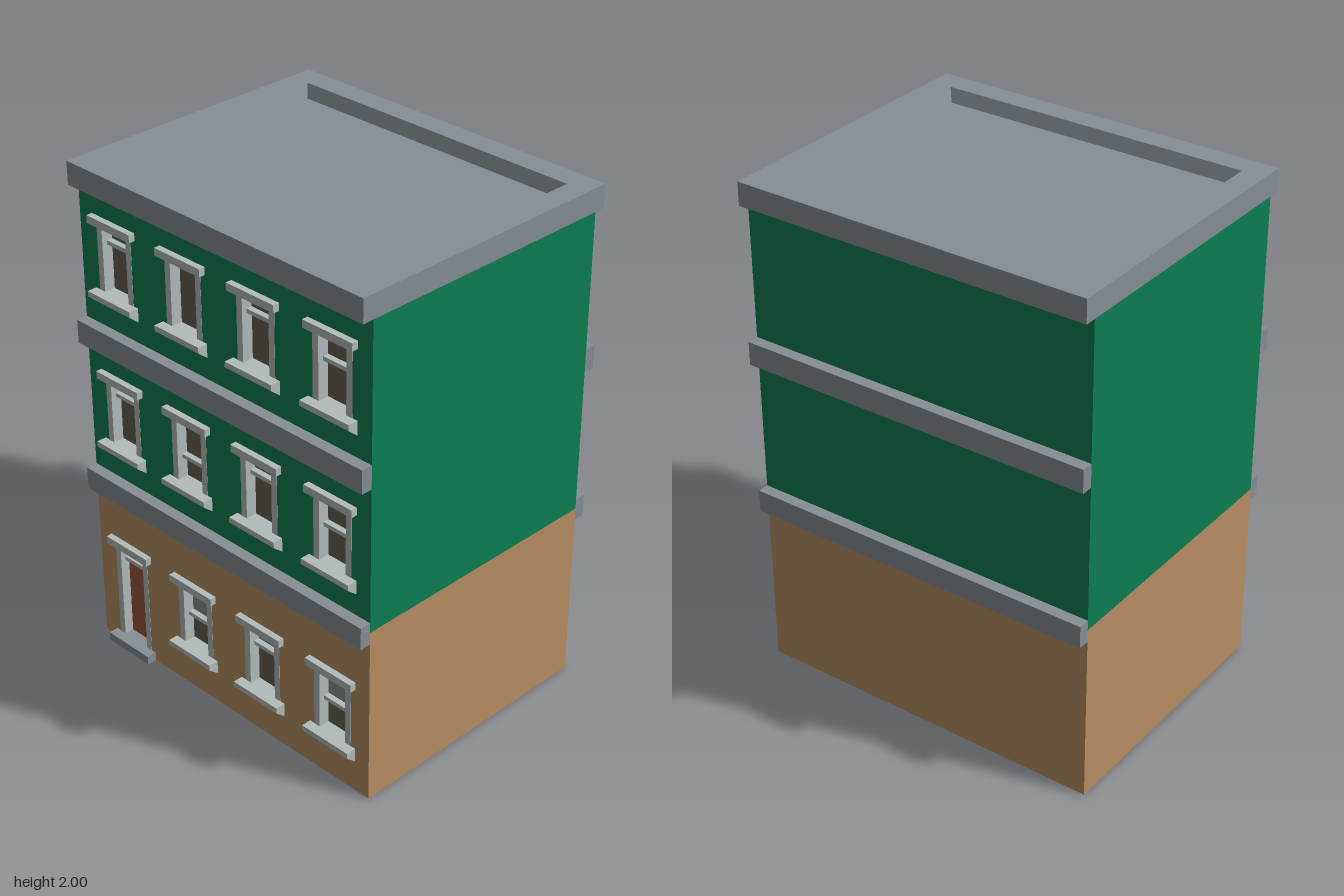
import * as THREE from 'three';

const mat = (name, color, side = THREE.FrontSide) => {
  const m = new THREE.MeshStandardMaterial({ color, side });
  m.name = name;
  return m;
};

export function createModel() {
  const building = new THREE.Group();
  building.name = 'townBuilding';

  const tan = mat('tanWall', 0xb88e62, THREE.DoubleSide);
  const green = mat('greenWall', 0x0d7d52, THREE.DoubleSide);
  const stone = mat('greyStone', 0x868e94);
  const trim = mat('paleTrim', 0xb4bcbb);
  const glass = mat('brownGlass', 0x665e53, THREE.DoubleSide);
  const blind = mat('greyBlind', 0x868e94, THREE.DoubleSide);
  const doorRed = mat('doorRed', 0x98593f);
  const knobBrown = mat('knobBrown', 0x4a2c20);

  const W = 0.71, D = 0.535, SPLIT = 0.72, TOP = 1.91;
  const columns = [-0.533, -0.178, 0.177, 0.532];

  const add = (parent, name, geometry, material) => {
    const mesh = new THREE.Mesh(geometry, material);
    mesh.name = name;
    parent.add(mesh);
    return mesh;
  };
  // Box given by its limits on each axis
  const box = (parent, name, material, x0, x1, y0, y1, z0, z1) =>
    add(parent, name, new THREE.BoxGeometry(x1 - x0, y1 - y0, z1 - z0), material)
      .position.set((x0 + x1) / 2, (y0 + y1) / 2, (z0 + z1) / 2);
  const pane = (parent, name, material, x0, x1, y0, y1, z) =>
    add(parent, name, new THREE.PlaneGeometry(x1 - x0, y1 - y0), material)
      .position.set((x0 + x1) / 2, (y0 + y1) / 2, z);
  const trace = (path, x0, x1, y0, y1) =>
    path.moveTo(x0, y0).lineTo(x1, y0).lineTo(x1, y1).lineTo(x0, y1).closePath();

  // Window rows: lintel top and height of the sash rail in each column
  const rows = [
    { top: 0.475, rails: [0.377, 0.305, 0.355, 0.305] },
    { top: 1.19, rails: [1.093, 0.99, 1.083, 1.035] },
    { top: 1.81, rails: [1.707, null, 1.707, 1.67] },
  ];

  // Hollow walls, open below, with openings at the front
  const storey = (name, material, y0, y1, rowList) => {
    const group = new THREE.Group();
    group.name = name;
    building.add(group);
    const shape = new THREE.Shape();
    trace(shape, -W, W, y0, y1);
    for (const row of rowList) {
      columns.forEach((x, i) => {
        const isDoor = row === rows[0] && i === 0;
        const hole = new THREE.Path();
        trace(hole, x - 0.09, x + 0.09, isDoor ? 0.02 : row.top - 0.3, row.top - 0.015);
        shape.holes.push(hole);
      });
    }
    add(group, 'frontWall', new THREE.ShapeGeometry(shape), material).position.z = D;
    const back = add(group, 'backWall', new THREE.PlaneGeometry(2 * W, y1 - y0), material);
    back.position.set(0, (y0 + y1) / 2, -D);
    back.rotation.y = Math.PI;
    for (const s of [-1, 1]) {
      const side = add(group, s > 0 ? 'leftWall' : 'rightWall',
        new THREE.PlaneGeometry(2 * D, y1 - y0), material);
      side.position.set(s * W, (y0 + y1) / 2, 0);
      side.rotation.y = s * Math.PI / 2;
    }
  };
  storey('groundFloorWalls', tan, 0, SPLIT, [rows[0]]);
  storey('upperFloorWalls', green, SPLIT, TOP, rows.slice(1));

  // Stone bands on the front and back only
  for (const [y0, y1] of [[0.672, 0.76], [1.29, 1.382]]) {
    box(building, 'frontBand', stone, -W, W, y0, y1, D, 0.58);
    box(building, 'backBand', stone, -W, W, y0, y1, -0.58, -D);
  }

  // Roof cap with a sunken middle, from rectangular loops
  const loops = [[W, 0.58, TOP], [W, 0.58, 2], [0.62, 0.487, 2], [0.6, 0.466, 1.95]];
  const points = [], index = [];
  for (const [x, z, y] of loops) points.push(-x, y, z, x, y, z, x, y, -z, -x, y, -z);
  for (let l = 0; l < loops.length - 1; l++) {
    for (let i = 0; i < 4; i++) {
      const a = l * 4 + i, b = l * 4 + (i + 1) % 4;
      index.push(a, b, b + 4, a, b + 4, a + 4);
    }
  }
  index.push(12, 13, 14, 12, 14, 15, 0, 2, 1, 0, 3, 2);
  const indexed = new THREE.BufferGeometry();
  indexed.setAttribute('position', new THREE.Float32BufferAttribute(points, 3));
  indexed.setIndex(index);
  const roofGeometry = indexed.toNonIndexed();
  roofGeometry.computeVertexNormals();
  add(building, 'roofCap', roofGeometry, stone);

  // Sill: level top, short front edge and sloping underside
  const sillShape = new THREE.Shape();
  sillShape.moveTo(-0.485, 0).lineTo(-0.575, 0).lineTo(-0.575, -0.022)
    .lineTo(-D, -0.055).lineTo(-D, -0.022).lineTo(-0.485, -0.022).closePath();
  const sillGeometry = new THREE.ExtrudeGeometry(sillShape, { depth: 0.224, bevelEnabled: false });
  sillGeometry.rotateY(Math.PI / 2);

  const BACK = 0.485, GLASS = 0.492;
  // Lintel and jambs shared by windows and door
  const surround = (group, x, bottom, top) => {
    box(group, 'lintel', trim, x - 0.112, x + 0.112, top - 0.03, top, BACK, 0.56);
    for (const s of [-1, 1]) {
      const c = x + s * 0.0765;
      box(group, 'jamb', trim, c - 0.0135, c + 0.0135, bottom, top - 0.03, BACK, D + 0.001);
    }
  };

  rows.forEach((row, r) => columns.forEach((x, i) => {
    const group = new THREE.Group();
    building.add(group);
    const x0 = x - 0.063, x1 = x + 0.063, head = row.top - 0.03;
    const rail = row.rails[i];
    if (rail !== null) box(group, 'rail', trim, x0, x1, rail - 0.008, rail + 0.008, BACK, 0.515);

    if (r === 0 && i === 0) {
      group.name = 'entrance';
      surround(group, x, 0.035, row.top);
      box(group, 'doorstep', stone, x - 0.112, x + 0.112, 0, 0.035, BACK, 0.575);
      box(group, 'door', doorRed, x0, x1, 0.035, rail, BACK, 0.498);
      pane(group, 'transomGlass', glass, x0, x1, rail, head, GLASS);
      add(group, 'doorKnob', new THREE.SphereGeometry(0.012, 12, 8), knobBrown)
        .position.set(x + 0.04, 0.165, 0.505);
      return;
    }

    group.name = 'window';
    const base = row.top - 0.29;
    surround(group, x, base, row.top);
    add(group, 'sill', sillGeometry, trim).position.set(x - 0.112, base, 0);
    if (r === 0) {
      pane(group, 'lowerPane', glass, x0, x1, base, rail, GLASS);
      pane(group, 'upperPane', blind, x0, x1, rail, head, GLASS);
    } else {
      pane(group, 'windowPane', glass, x0, x1, base, head, GLASS);
    }
  }));

  return building;
}
